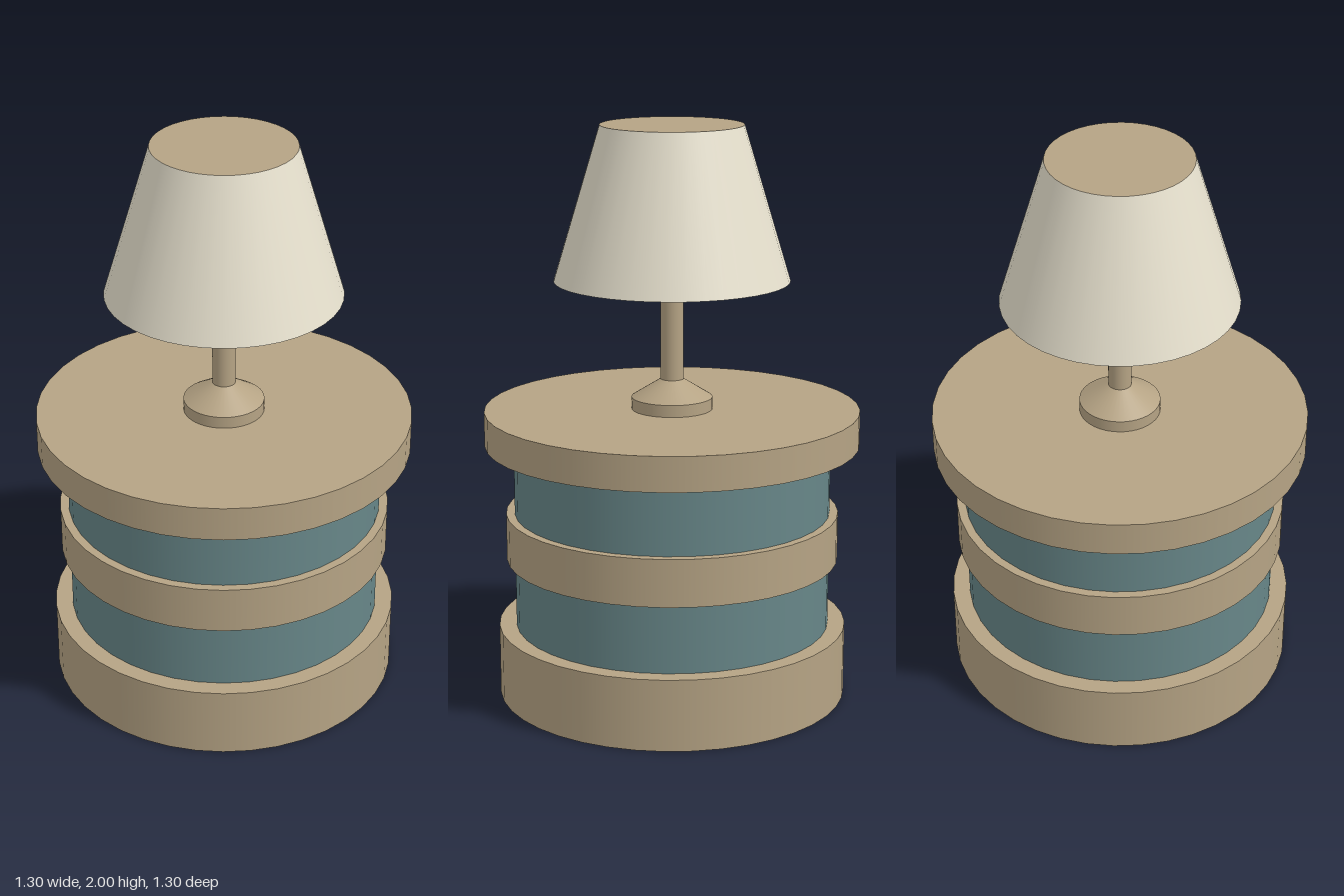
import * as THREE from 'three';

const SEGMENTS = 40;

export function createModel() {
  const model = new THREE.Group();
  model.name = 'drumTableWithLamp';

  const material = (name, color) => {
    const m = new THREE.MeshStandardMaterial({ color });
    m.name = name;
    return m;
  };
  const tan = material('tan', 0xb5a384);
  const teal = material('teal', 0x678688);
  const cream = material('cream', 0xe9e3d0);

  const add = (name, geometry, mat) => {
    const mesh = new THREE.Mesh(geometry, mat);
    mesh.name = name;
    model.add(mesh);
    return mesh;
  };

  // Upright round part between two heights
  const round = (name, mat, y0, y1, rBottom, rTop = rBottom, open = false) => {
    const g = new THREE.CylinderGeometry(rTop, rBottom, y1 - y0, SEGMENTS, 1, open);
    g.translate(0, (y0 + y1) / 2, 0);
    return add(name, g, mat);
  };

  // Drum table
  round('tableBase', tan, 0, 0.25, 0.61);
  round('lowerDrum', teal, 0.25, 0.49, 0.55);
  round('middleBand', tan, 0.49, 0.655, 0.58);
  round('upperDrum', teal, 0.655, 0.9, 0.55);
  round('tableTop', tan, 0.9, 1.02, 0.65);

  // Lamp foot and stem
  round('lampFoot', tan, 1.02, 1.062, 0.14);
  round('lampFootCone', tan, 1.062, 1.125, 0.14, 0.04);
  round('lampStem', tan, 1.125, 1.505, 0.04);
  round('lampCollar', cream, 1.505, 1.53, 0.04);

  // Lamp shade: sloped wall, shallow hollow underside and flat cap
  round('lampShade', cream, 1.47, 2, 0.405, 0.245, true);
  const underside = [new THREE.Vector2(0.04, 1.53), new THREE.Vector2(0.405, 1.47)];
  add('shadeUnderside', new THREE.LatheGeometry(underside, SEGMENTS), cream);
  const cap = new THREE.CircleGeometry(0.245, SEGMENTS);
  cap.rotateX(-Math.PI / 2);
  cap.translate(0, 2, 0);
  add('shadeCap', cap, tan);

  return model;
}
